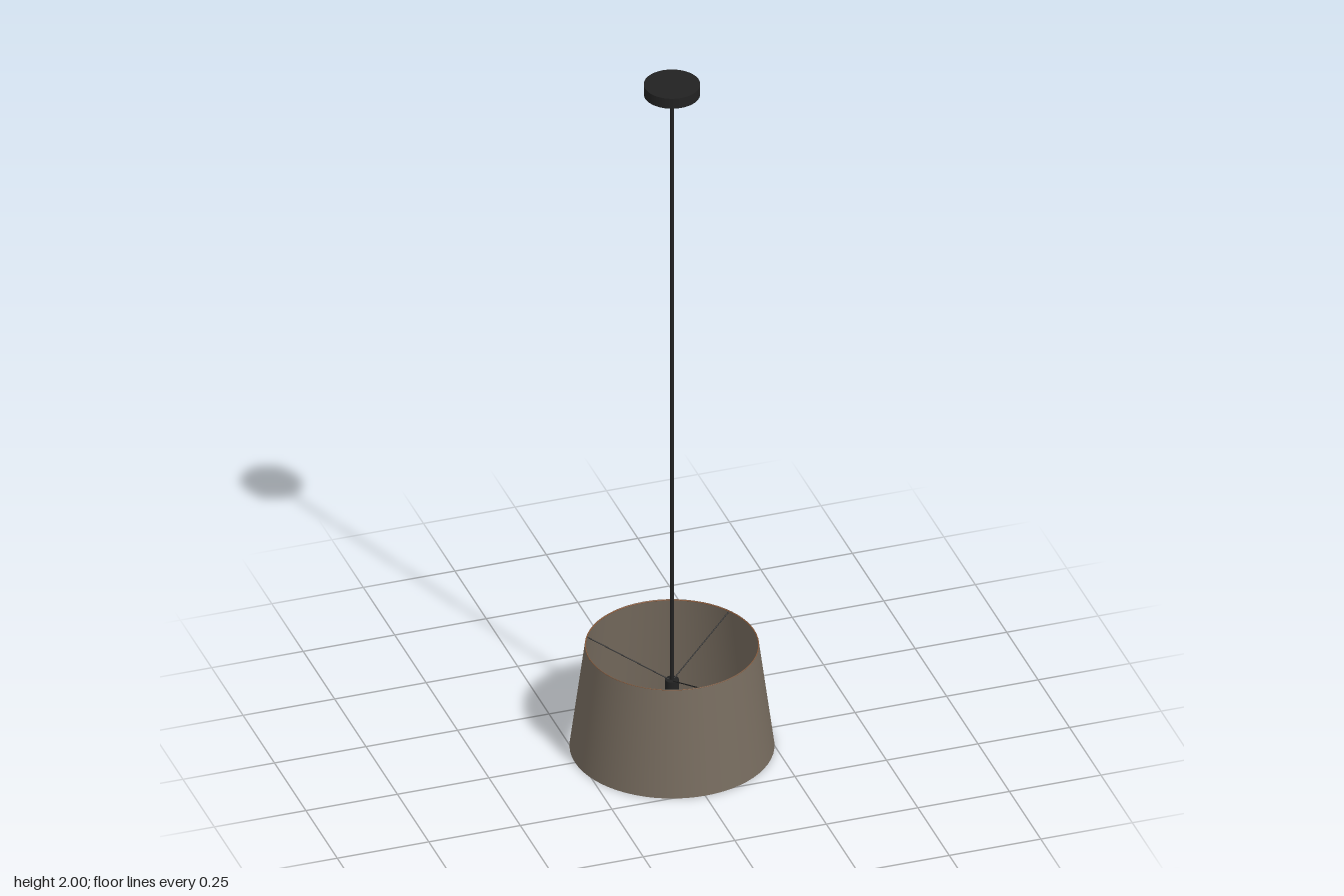
import * as THREE from 'three';

const material = (color, side = THREE.FrontSide) => new THREE.MeshStandardMaterial({ color, side });

export function createModel() {
  const lamp = new THREE.Group();
  lamp.name = 'pendantLamp';
  const black = material(0x222222);
  const fabric = material(0x766b5e, THREE.DoubleSide);
  const copper = material(0x8a5a3a);
  const amber = material(0xe0a055);

  const add = (name, geometry, mat, y = 0) => {
    const mesh = new THREE.Mesh(geometry, mat);
    mesh.name = name;
    mesh.position.y = y;
    lamp.add(mesh);
    return mesh;
  };
  // Straight round bar between two points
  const bar = (name, a, b, radius, mat) => {
    const mesh = add(name, new THREE.CylinderGeometry(radius, radius, a.distanceTo(b), 12), mat);
    mesh.position.copy(a).lerp(b, 0.5);
    mesh.quaternion.setFromUnitVectors(new THREE.Vector3(0, 1, 0), b.clone().sub(a).normalize());
  };

  const topY = 0.305, topR = 0.225, bottomR = 0.265, hubY = 0.195;

  // Ceiling canopy and hanging cord
  add('canopy', new THREE.CylinderGeometry(0.073, 0.073, 0.03, 64), black, 1.985);
  bar('cord', new THREE.Vector3(0, hubY, 0), new THREE.Vector3(0, 1.97, 0), 0.005, black);

  // Tapered open shade with a slim lining edge at the top
  add('shade', new THREE.CylinderGeometry(topR, bottomR, topY, 64, 1, true), fabric, topY / 2);
  const ring = add('topRing', new THREE.TorusGeometry(topR - 0.001, 0.0015, 8, 64), copper, topY - 0.002);
  ring.rotation.x = Math.PI / 2;

  // Three spokes rising from the hub to the top edge
  for (let i = 0; i < 3; i++) {
    const a = i * Math.PI * 2 / 3;
    const rim = new THREE.Vector3(Math.sin(a) * topR, topY - 0.003, Math.cos(a) * topR);
    bar('spoke', new THREE.Vector3(0, hubY, 0), rim, 0.0015, black);
  }

  // Lamp holder and bulb
  add('socket', new THREE.CylinderGeometry(0.018, 0.018, 0.05, 32), black, 0.175);
  const profile = [[0, 0.085], [0.012, 0.088], [0.021, 0.096], [0.026, 0.11],
    [0.024, 0.124], [0.018, 0.14], [0.014, 0.155]].map(p => new THREE.Vector2(...p));
  add('bulb', new THREE.LatheGeometry(profile, 32), amber);

  return lamp;
}
